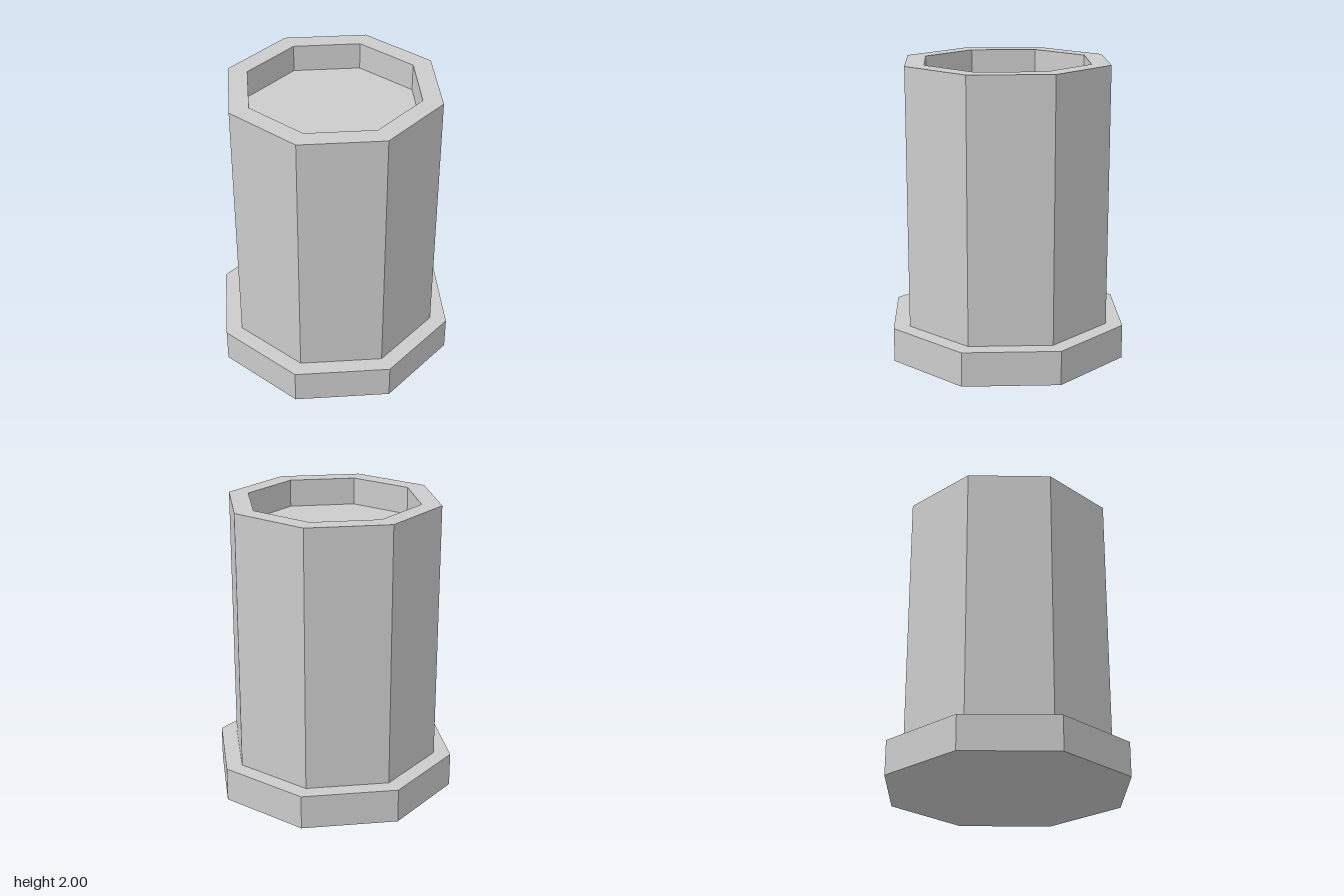
import * as THREE from 'three';

const SIDES = 8;
const TURN = THREE.MathUtils.degToRad(32.6); // angle of the first corner

// Spins a [radius, height] profile into a flat-sided octagonal solid
function octagonal(name, profile, material) {
  const points = profile.map(([r, y]) => new THREE.Vector2(r, y));
  const geometry = new THREE.LatheGeometry(points, SIDES, TURN).toNonIndexed();
  geometry.computeVertexNormals();
  const mesh = new THREE.Mesh(geometry, material);
  mesh.name = name;
  return mesh;
}

export function createModel() {
  const group = new THREE.Group();
  group.name = 'octagonalPillar';
  const grey = new THREE.MeshStandardMaterial({ color: 0xcccccc, flatShading: true });

  // Wide base slab
  const baseTop = 0.233;
  group.add(octagonal('baseFlange', [[0, 0], [0.838, 0], [0.838, baseTop], [0, baseTop]], grey));

  // Tall shaft with a rim and a shallow recess in its top
  group.add(octagonal('shaft', [
    [0.722, baseTop], [0.722, 2], [0.587, 2], [0.587, 1.814], [0, 1.814],
  ], grey));

  return group;
}
